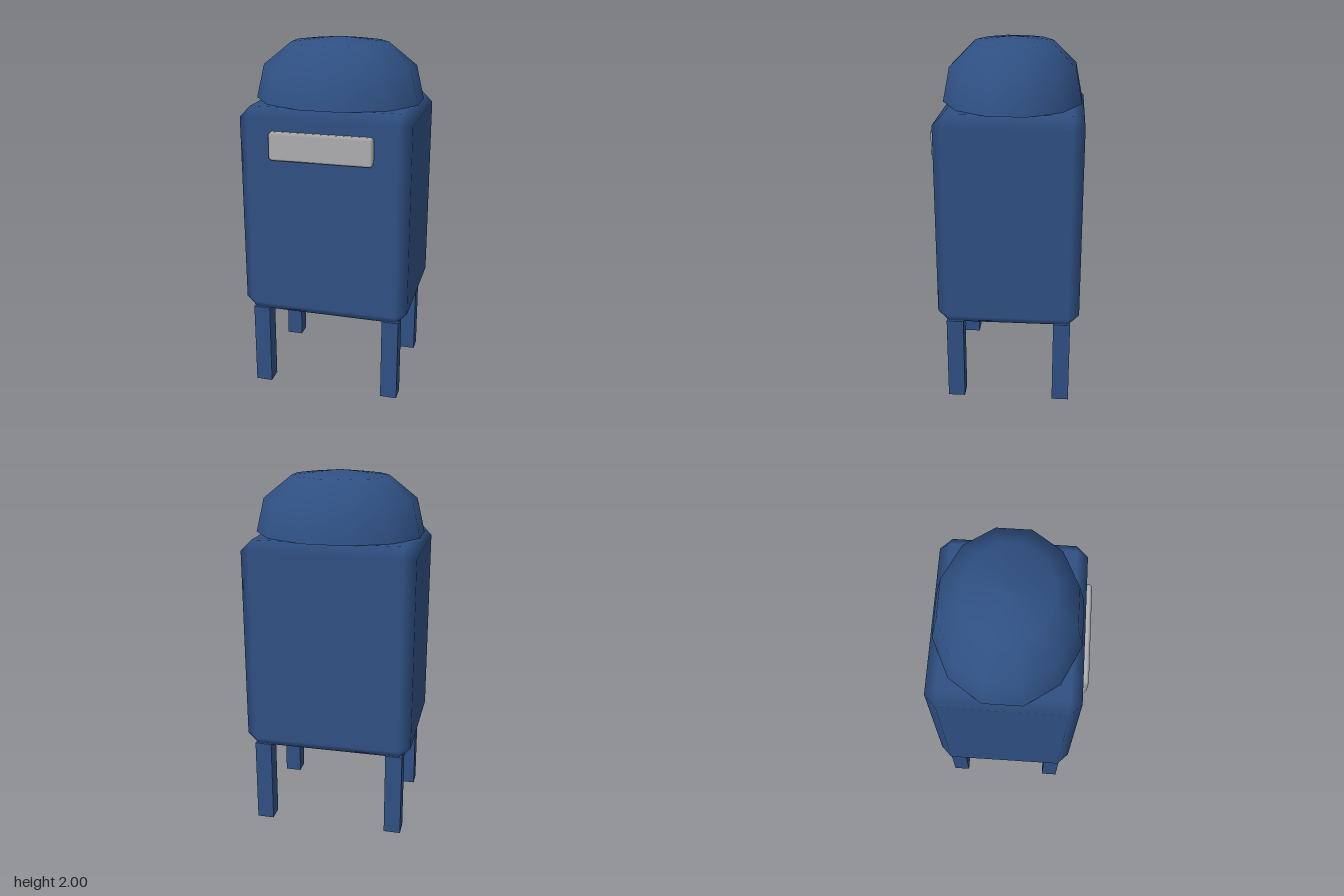
import * as THREE from 'three';

// Box with one-step chamfers whose normals blend from face to face
function chamferBox(w, h, d, r) {
  const half = [w / 2, h / 2, d / 2], pos = [], nor = [];
  const S = [-1, 1];
  const vert = (axis, s) => ({
    p: new THREE.Vector3(...s.map((v, i) => v * (half[i] - (i === axis ? 0 : r)))),
    n: new THREE.Vector3(...s.map((v, i) => (i === axis ? v : 0))),
  });
  const tri = (a, b, c) => {
    const out = b.p.clone().sub(a.p).cross(c.p.clone().sub(a.p));
    const mid = a.p.clone().add(b.p).add(c.p);
    for (const v of out.dot(mid) > 0 ? [a, b, c] : [a, c, b]) {
      pos.push(...v.p.toArray());
      nor.push(...v.n.toArray());
    }
  };
  const quad = (a, b, c, e) => { tri(a, b, c); tri(a, c, e); };
  for (let a = 0; a < 3; a++) {
    const b = (a + 1) % 3, c = (a + 2) % 3;
    const at = (axis, sa, sb, sc) => {
      const s = [0, 0, 0];
      s[a] = sa; s[b] = sb; s[c] = sc;
      return vert(axis, s);
    };
    for (const s of S) {
      // flat face
      quad(at(a, s, -1, -1), at(a, s, 1, -1), at(a, s, 1, 1), at(a, s, -1, 1));
      // chamfered edges
      for (const t of S) quad(at(a, s, t, -1), at(a, s, t, 1), at(b, s, t, 1), at(b, s, t, -1));
    }
  }
  // corners
  for (const x of S) for (const y of S) for (const z of S) {
    tri(vert(0, [x, y, z]), vert(1, [x, y, z]), vert(2, [x, y, z]));
  }
  const g = new THREE.BufferGeometry();
  g.setAttribute('position', new THREE.Float32BufferAttribute(pos, 3));
  g.setAttribute('normal', new THREE.Float32BufferAttribute(nor, 3));
  return g;
}

export function createModel() {
  const group = new THREE.Group();
  const blue = new THREE.MeshStandardMaterial({ name: 'blue paint', color: 0x2f5083 });
  const grey = new THREE.MeshStandardMaterial({ name: 'grey metal', color: 0xaeaeb0 });
  const add = (name, geometry, material, x, y, z) => {
    const mesh = new THREE.Mesh(geometry, material);
    mesh.name = name;
    mesh.position.set(x, y, z);
    group.add(mesh);
  };
  const zc = -0.017;

  // Body
  add('body', chamferBox(0.94, 1.185, 0.786, 0.062), blue, 0, 1.0675, zc);

  // Twelve-sided domed lid with a flat underside
  const profile = [[0.471, 0], [0.426, 0.185], [0.269, 0.31], [0, 0.34]];
  const dome = new THREE.LatheGeometry(profile.map(p => new THREE.Vector2(...p)), 12, Math.PI / 12);
  add('lid', dome.scale(1, 1, 0.83), blue, 0, 1.66, zc);
  const under = new THREE.CircleGeometry(0.471, 12, Math.PI / 12).rotateX(Math.PI / 2);
  add('lidUnderside', under.scale(1, 1, 0.83), blue, 0, 1.66, zc);

  // Slot plate on the front
  add('slotPlate', chamferBox(0.565, 0.155, 0.063, 0.014), grey, 0, 1.467, 0.377);

  // Four square legs
  for (const x of [-1, 1]) for (const z of [-1, 1]) {
    const name = (z > 0 ? 'front' : 'back') + (x > 0 ? 'Left' : 'Right') + 'Leg';
    add(name, new THREE.BoxGeometry(0.094, 0.48, 0.094), blue, x * 0.378, 0.24, zc + z * 0.298);
  }
  return group;
}
